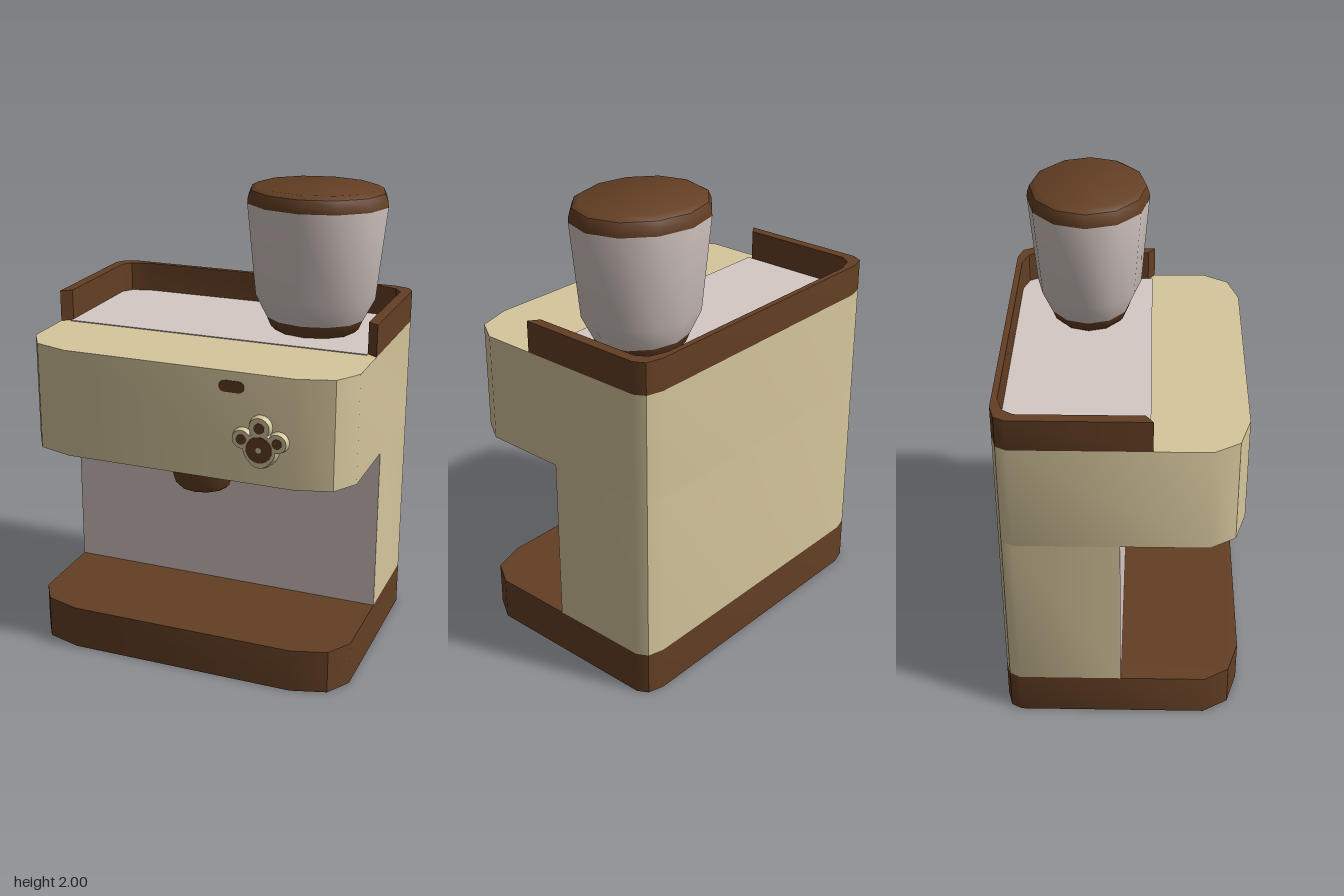
import * as THREE from 'three';
import { toCreasedNormals } from 'three/addons/utils/BufferGeometryUtils.js';

const material = (name, color) => {
  const m = new THREE.MeshStandardMaterial({ color });
  m.name = name;
  return m;
};

export function createModel() {
  const brown = material('dark brown', 0x643f24);
  const cream = material('cream', 0xd6c69c);
  const grey = material('warm grey', 0xd6c9c4);
  const model = new THREE.Group();

  const add = (name, geometry, mat, parent = model) => {
    const mesh = new THREE.Mesh(toCreasedNormals(geometry, 0.65), mat);
    mesh.name = name;
    parent.add(mesh);
    return mesh;
  };

  // Closed plan outline from its right half, mirrored to the left ([x, z], front to back)
  const mirrored = (half) => [...half, ...half.map(([x, z]) => [-x, z]).reverse()];
  // Upright slab over a plan outline
  const slab = (points, y0, y1) => {
    const shape = new THREE.Shape(points.map(([x, z]) => new THREE.Vector2(x, -z)));
    const g = new THREE.ExtrudeGeometry(shape, { depth: y1 - y0, bevelEnabled: false });
    return g.rotateX(-Math.PI / 2).translate(0, y0, 0);
  };
  // Twelve-sided turned part, profile as [radius, y]
  const turned = (profile) => new THREE.LatheGeometry(
    profile.map(([r, y]) => new THREE.Vector2(r, y)), 12).toNonIndexed();

  const frontCorner = [[0.5, 0.49], [0.65, 0.445], [0.715, 0.34]];
  const backCorner = [[0.715, -0.45], [0.69, -0.495], [0.62, -0.515]];
  const full = mirrored([...frontCorner, ...backCorner]);

  // Base, rear column and overhanging head
  add('base', slab(full, 0, 0.19), brown);
  add('rearColumn', slab(mirrored([[0.715, -0.022], ...backCorner]), 0.19, 0.915), cream);
  add('head', slab(full, 0.915, 1.38), cream);
  add('splashPanel', new THREE.BoxGeometry(1.43, 0.725, 0.004).translate(0, 0.5525, -0.02), grey);

  // Cup tray with a rim open to the front
  const innerCorner = [[0.67, -0.42], [0.64, -0.465], [0.565, -0.49]];
  add('cupTray', slab(mirrored([[0.672, 0.1], ...innerCorner]), 1.38, 1.384), grey);
  const outerRim = mirrored([[0.715, 0.11], ...backCorner]);
  const innerRim = mirrored([[0.67, 0.08], ...innerCorner]).reverse();
  add('trayRim', slab([...outerRim, ...innerRim], 1.38, 1.515), brown);

  // Bean hopper, slightly oval
  const hopper = new THREE.Group();
  hopper.name = 'beanHopper';
  hopper.position.set(0.36, 0, -0.175);
  hopper.scale.set(1, 1, 0.853);
  model.add(hopper);
  add('hopperFoot', turned([[0, 1.382], [0.175, 1.382], [0.195, 1.4], [0.213, 1.44]]), brown, hopper);
  add('hopperBowl', turned([[0.213, 1.44], [0.265, 1.54], [0.305, 1.93]]), grey, hopper);
  add('hopperLid', turned([[0.305, 1.93], [0.303, 1.955], [0.29, 1.985], [0.262, 2], [0, 2]]), brown, hopper);

  // Brew spout under the head
  const spout = add('brewSpout', turned(
    [[0, 0.795], [0.105, 0.795], [0.118, 0.808], [0.15, 0.918]]), brown);
  spout.position.set(0.035, 0, 0.3);
  spout.scale.z = 0.89;

  // Disc facing forward, standing on z0
  const disc = (name, x, y, r, z0, depth, mat, parent, taper = 1) => {
    const g = new THREE.CylinderGeometry(r * taper, r, depth, 20).toNonIndexed();
    g.rotateX(Math.PI / 2).translate(x, y, z0 + depth / 2);
    return add(name, g, mat, parent);
  };

  // Paw-shaped knob: raised lobes with brown pads
  const knob = new THREE.Group();
  knob.name = 'pawKnob';
  knob.position.x = 0.36;
  model.add(knob);
  const lobes = [[0, 1.165, 0.05, 0.022], [-0.075, 1.11, 0.045, 0.021],
    [0.075, 1.11, 0.045, 0.021], [0, 1.075, 0.08, 0.055]];
  lobes.forEach(([x, y, r, pad], i) => {
    disc('knobLobe' + i, x, y, r, 0.488, 0.026, cream, knob, 0.86);
    disc('pawPad' + i, x, y, pad, 0.513, 0.004, brown, knob);
  });
  disc('knobHeel', 0, 1.047, 0.058, 0.488, 0.026, cream, knob, 0.86);
  disc('knobDot', 0, 1.075, 0.012, 0.516, 0.003, cream, knob);

  // Oval indicator button
  const button = new THREE.Shape();
  button.absarc(0.03, 0, 0.024, -Math.PI / 2, Math.PI / 2);
  button.absarc(-0.03, 0, 0.024, Math.PI / 2, Math.PI * 1.5);
  add('indicatorButton', new THREE.ExtrudeGeometry(button, { depth: 0.006, bevelEnabled: false })
    .translate(0.235, 1.317, 0.488), brown);

  return model;
}
